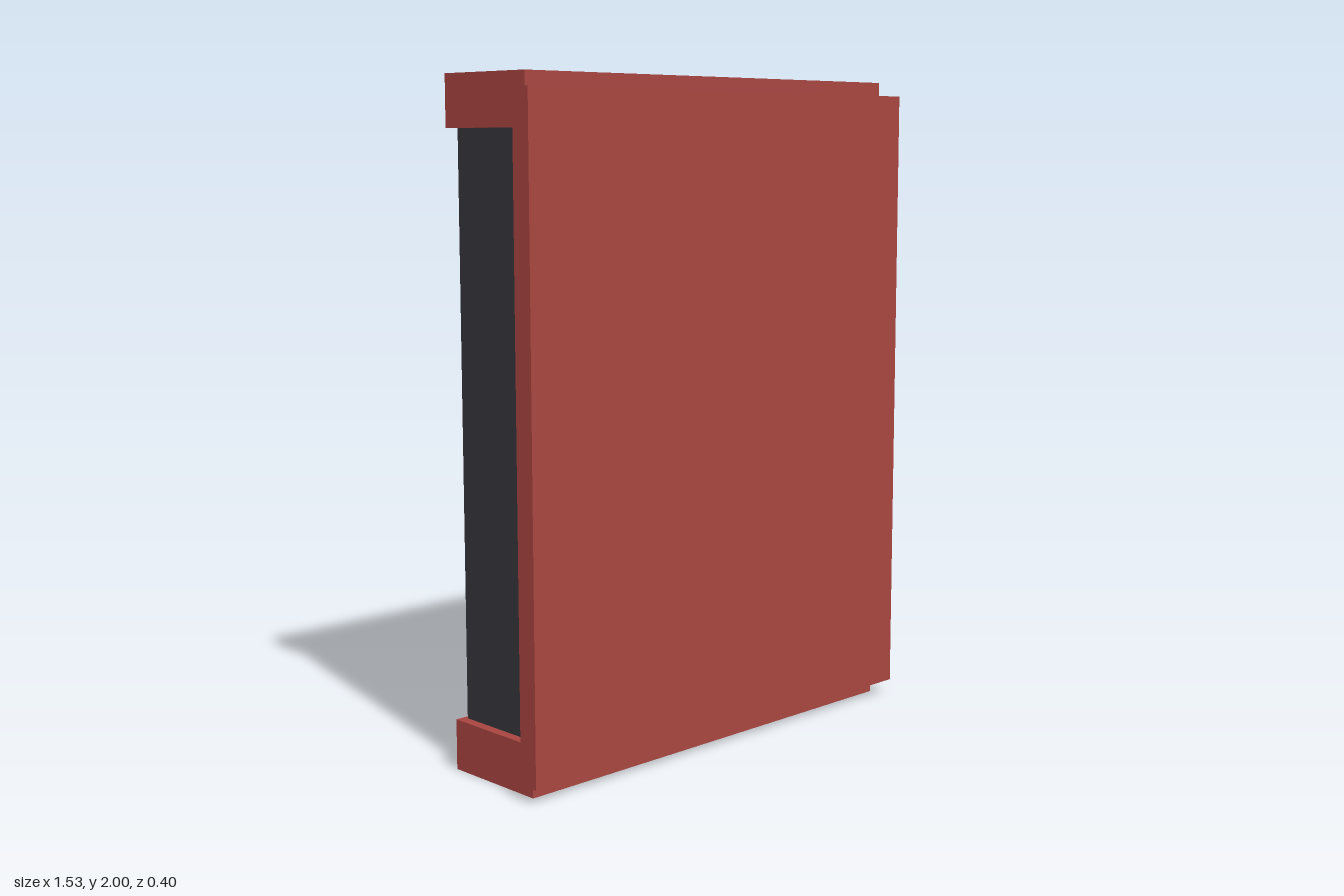
import * as THREE from 'three';

export function createModel() {
  const model = new THREE.Group();
  model.name = 'panelBox';

  const red = new THREE.MeshStandardMaterial({ color: 0xa84540 });
  red.name = 'brick red';
  const dark = new THREE.MeshStandardMaterial({ color: 0x36353b });
  dark.name = 'charcoal';

  // Box given by half width, y range and z range
  function box(name, material, halfWidth, y0, y1, z0, z1) {
    const mesh = new THREE.Mesh(new THREE.BoxGeometry(halfWidth * 2, y1 - y0, z1 - z0), material);
    mesh.position.set(0, (y0 + y1) / 2, (z0 + z1) / 2);
    mesh.name = name;
    model.add(mesh);
  }

  // Dark core, slightly inset from the caps
  box('body', dark, 0.7, 0.1, 1.9, -0.185, 0.14);

  // Caps at both ends
  box('bottomCap', red, 0.73, 0, 0.15, -0.2, 0.145);
  box('topCap', red, 0.73, 1.85, 2, -0.2, 0.145);

  // Wide plate across the front
  box('frontPlate', red, 0.765, 0.045, 1.957, 0.135, 0.2);

  return model;
}
